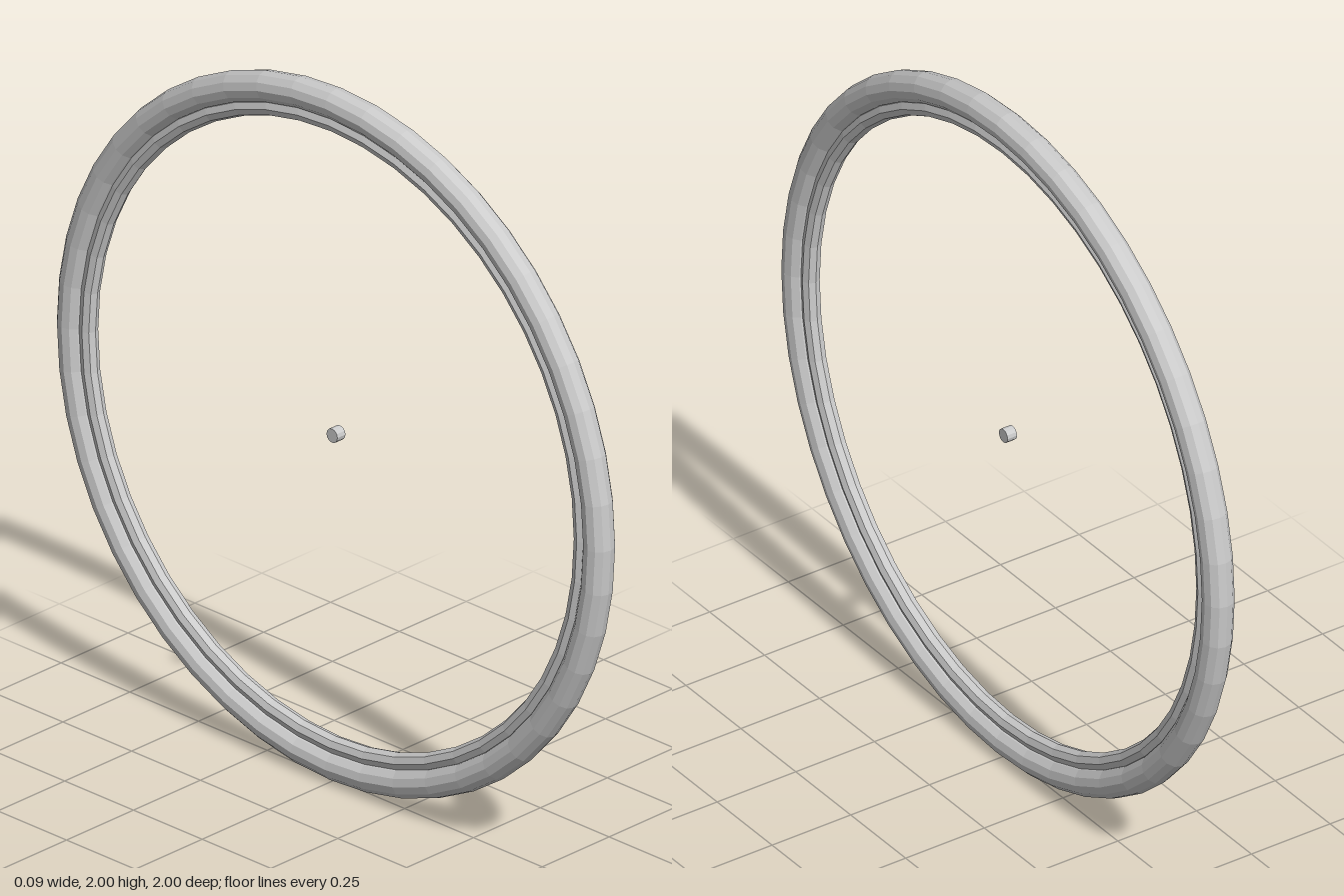
import * as THREE from 'three';

export function createModel() {
  const group = new THREE.Group();
  const material = new THREE.MeshStandardMaterial({ color: 0xcccccc, flatShading: true });

  // Every part is round about the x axis through the wheel centre
  function add(name, geometry) {
    const mesh = new THREE.Mesh(geometry, material);
    mesh.name = name;
    mesh.position.y = 1;
    group.add(mesh);
  }

  // Outer tyre
  add('tire', new THREE.TorusGeometry(0.957, 0.043, 12, 48).rotateY(Math.PI / 2));

  // Thin rim, half sunk into the tyre
  add('rim', new THREE.TorusGeometry(0.9, 0.025, 8, 48).rotateY(Math.PI / 2));

  // Small axle stub floating at the centre
  add('hub', new THREE.CylinderGeometry(0.02, 0.02, 0.03, 12).rotateZ(Math.PI / 2));

  return group;
}
